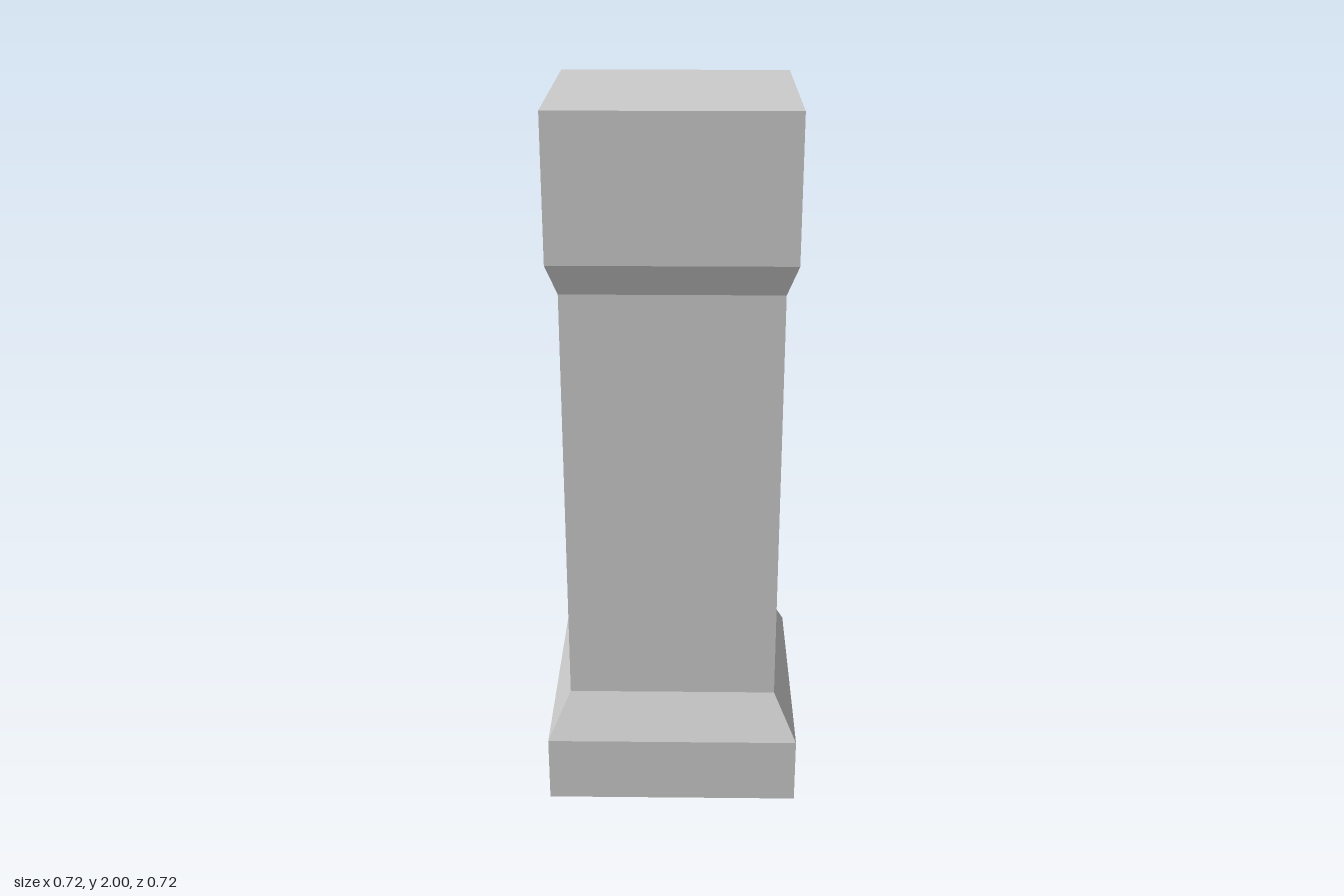
import * as THREE from 'three';

const material = new THREE.MeshStandardMaterial({ color: 0xcccccc, flatShading: true });

// Square section turned from a profile of [half width, height], bottom to top
function squarePart(name, profile) {
  const points = profile.map(([half, y]) => new THREE.Vector2(half * Math.SQRT2, y));
  const geometry = new THREE.LatheGeometry(points, 4, Math.PI / 4).toNonIndexed();
  geometry.computeVertexNormals();
  const mesh = new THREE.Mesh(geometry, material);
  mesh.name = name;
  return mesh;
}

export function createModel() {
  const base = 0.359, shaft = 0.295, cap = 0.325;
  const group = new THREE.Group();
  group.name = 'squarePillar';
  group.add(
    // Plinth with closed underside and sloped shoulder
    squarePart('plinth', [[0, 0], [base, 0], [base, 0.195]]),
    squarePart('plinthSlope', [[base, 0.195], [shaft, 0.325]]),
    // Straight shaft
    squarePart('shaft', [[shaft, 0.325], [shaft, 1.525]]),
    // Flared neck and block capital with closed top
    squarePart('capitalFlare', [[shaft, 1.525], [cap, 1.61]]),
    squarePart('capital', [[cap, 1.61], [cap, 2], [0, 2]]),
  );
  return group;
}
